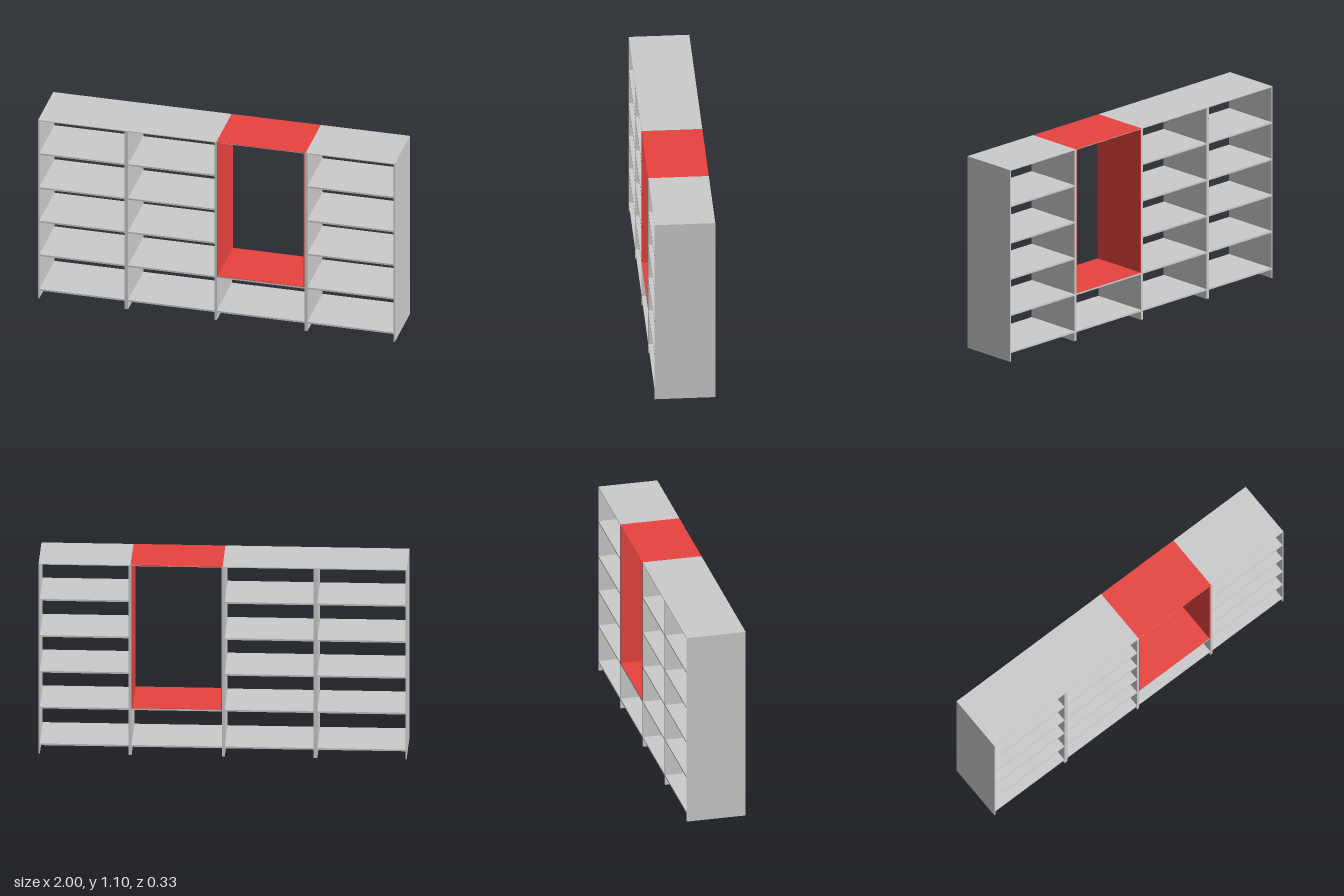
import * as THREE from 'three';

const H = 1.1, D = 0.33;
const grey = new THREE.MeshStandardMaterial({ color: 0xcccccc });
const red = new THREE.MeshStandardMaterial({ color: 0xe8433f });

// Full-depth board given by its extents in x and y
function board(name, x0, x1, y0, y1, material = grey) {
  const mesh = new THREE.Mesh(new THREE.BoxGeometry(x1 - x0, y1 - y0, D), material);
  mesh.position.set((x0 + x1) / 2, (y0 + y1) / 2, 0);
  mesh.name = name;
  return mesh;
}

export function createModel() {
  const model = new THREE.Group();
  model.name = 'bookcase';

  // Uprights: two thin ends and three dividers
  const uprights = [[-1, -0.993], [-0.515, -0.495], [-0.012, 0.002], [0.494, 0.51], [0.993, 1]];
  uprights.forEach(([x0, x1], i) => {
    const name = i === 0 ? 'rightEnd' : i === 4 ? 'leftEnd' : 'divider' + i;
    model.add(board(name, x0, x1, 0, H - 0.005));
  });

  // Shelves in each bay; the third bay is open above its second shelf
  const shelfY = [0.053, 0.266, 0.474, 0.681, 0.891];
  for (let bay = 0; bay < 4; bay++) {
    const x0 = uprights[bay][1], x1 = uprights[bay + 1][0];
    const levels = bay === 2 ? shelfY.slice(0, 2) : shelfY;
    levels.forEach((y, i) =>
      model.add(board(`shelf${bay + 1}_${i + 1}`, x0, x1, y - 0.005, y + 0.005)));
  }

  // Top boards, with a coloured cover over the open bay
  model.add(board('topRight', -1, 0, H - 0.005, H));
  model.add(board('topLeft', 0.5, 1, H - 0.005, H));
  model.add(board('topMiddle', 0, 0.5, H - 0.005, H - 0.002));
  model.add(board('topCover', 0, 0.5, H - 0.002, H, red));

  // Coloured lining of the open bay
  model.add(board('liningRight', 0.002, 0.008, 0.271, H - 0.005, red));
  model.add(board('liningLeft', 0.488, 0.494, 0.271, H - 0.005, red));
  model.add(board('liningBottom', 0.008, 0.488, 0.271, 0.274, red));
  return model;
}
